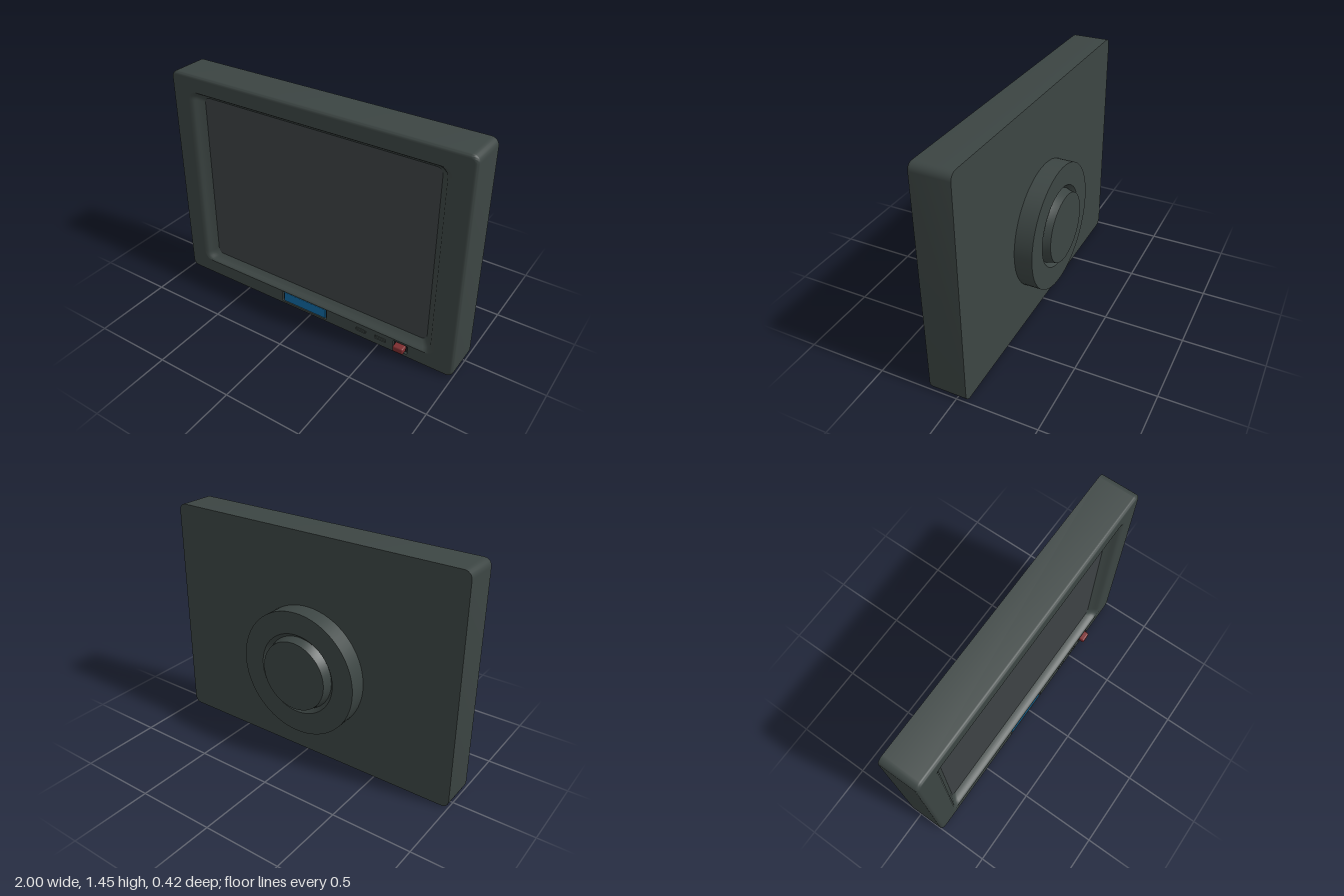
import * as THREE from 'three';
import { toCreasedNormals } from 'three/addons/utils/BufferGeometryUtils.js';
import { RoundedBoxGeometry } from 'three/addons/geometries/RoundedBoxGeometry.js';

const CY = 0.726; // height of the panel centre

// Counter-clockwise rounded rectangle outline
function outline(hw, hh, r, cx = 0, cy = CY, seg = 6) {
  const pts = [];
  [[1, 1], [-1, 1], [-1, -1], [1, -1]].forEach(([sx, sy], q) => {
    for (let i = 0; i <= seg; i++) {
      const a = (q + i / seg) * Math.PI / 2;
      pts.push(new THREE.Vector2(cx + sx * (hw - r) + r * Math.cos(a), cy + sy * (hh - r) + r * Math.sin(a)));
    }
  });
  return pts;
}

// Skin between outlines given as [halfWidth, halfHeight, radius, z]
function loft(rings) {
  const pos = [], idx = [];
  let n = 0;
  rings.forEach(([hw, hh, r, z]) => {
    const pts = outline(hw, hh, r);
    n = pts.length;
    pts.forEach(p => pos.push(p.x, p.y, z));
  });
  for (let i = 0; i < rings.length - 1; i++) {
    for (let j = 0; j < n; j++) {
      const a = i * n + j, b = i * n + (j + 1) % n;
      idx.push(a, b, b + n, a, b + n, a + n);
    }
  }
  const g = new THREE.BufferGeometry();
  g.setAttribute('position', new THREE.Float32BufferAttribute(pos, 3));
  g.setIndex(idx);
  return toCreasedNormals(g, 0.8);
}

export function createModel() {
  const group = new THREE.Group();
  const material = (name, color) => {
    const m = new THREE.MeshStandardMaterial({ color });
    m.name = name;
    return m;
  };
  const casing = material('casing grey', 0x3c4543);
  const glass = material('screen grey', 0x3d4244);
  const dark = material('recess black', 0x1c2122);
  const blue = material('display blue', 0x1068a0);
  const red = material('button red', 0x7c2d2f);

  const add = (name, geo, mat, x = 0, y = 0, z = 0) => {
    const mesh = new THREE.Mesh(geo, mat);
    mesh.name = name;
    mesh.position.set(x, y, z);
    group.add(mesh);
    return mesh;
  };

  // Outer shell with a rounded front rim
  const shell = [[1, 0.725, 0.045, -0.063]];
  for (let i = 0; i <= 5; i++) {
    const a = i / 5 * Math.PI / 2, d = 0.02 * (1 - Math.cos(a));
    shell.push([1 - d, 0.725 - d, 0.045 - d, 0.16 + 0.02 * Math.sin(a)]);
  }
  add('shell', loft(shell), casing);

  // Flat back panel
  const back = new THREE.ShapeGeometry(new THREE.Shape(outline(1, 0.725, 0.045)));
  back.rotateY(Math.PI);
  add('backPanel', back, casing, 0, 0, -0.063);

  // Front frame, pierced by the screen opening and the control wells
  const wells = [
    [-0.043, 0.066, 0.174, 0.038],
    [0.382, 0.065, 0.036, 0.012],
    [0.518, 0.065, 0.039, 0.012],
    [0.655, 0.065, 0.05, 0.031],
  ];
  const front = new THREE.Shape(outline(0.98, 0.705, 0.025));
  front.holes.push(new THREE.Path(outline(0.875, 0.618, 0.06).reverse()));
  wells.forEach(([x, y, hw, hh]) => {
    front.holes.push(new THREE.Path(outline(hw, hh, 0.006, x, y, 2).reverse()));
  });
  add('frontFrame', new THREE.ExtrudeGeometry(front, { depth: 0.02, bevelEnabled: false }), casing, 0, 0, 0.16);

  // Curved inner lip leading down to the screen
  add('innerLip', loft([
    [0.875, 0.618, 0.06, 0.18],
    [0.856, 0.615, 0.055, 0.177],
    [0.843, 0.609, 0.05, 0.168],
    [0.835, 0.603, 0.045, 0.155],
    [0.815, 0.588, 0.04, 0.135],
    [0.795, 0.573, 0.035, 0.12],
  ]), casing);
  add('screen', new THREE.ShapeGeometry(new THREE.Shape(outline(0.797, 0.575, 0.035))), glass, 0, 0, 0.121);

  // Dark floors of the wells
  wells.forEach(([x, y, hw, hh]) => {
    add('wellFloor', new THREE.PlaneGeometry(2 * hw, 2 * hh), dark, x, y, 0.163);
  });

  // Display, two flat keys and the raised red button
  add('display', new RoundedBoxGeometry(0.322, 0.068, 0.014, 2, 0.003), blue, -0.043, 0.066, 0.171);
  wells.slice(1, 3).forEach(([x, y, hw, hh]) => {
    add('key', new RoundedBoxGeometry(2 * hw - 0.008, 2 * hh - 0.008, 0.016, 2, 0.003), casing, x, y, 0.172);
  });
  add('redButton', new RoundedBoxGeometry(0.07, 0.042, 0.05, 3, 0.01), red, 0.655, 0.065, 0.188);

  // Round mount on the back, with a grooved centre plug
  const profile = [
    [0.4, 0.06], [0.4, 0.175], [0.26, 0.175], [0.236, 0.15], [0.228, 0.175], [0.222, 0.21], [0, 0.21],
  ].map(([r, h]) => new THREE.Vector2(r, h));
  const mount = toCreasedNormals(new THREE.LatheGeometry(profile, 64), 0.4);
  mount.rotateX(-Math.PI / 2);
  add('rearMount', mount, casing, 0, 0.6, 0);

  return group;
}
